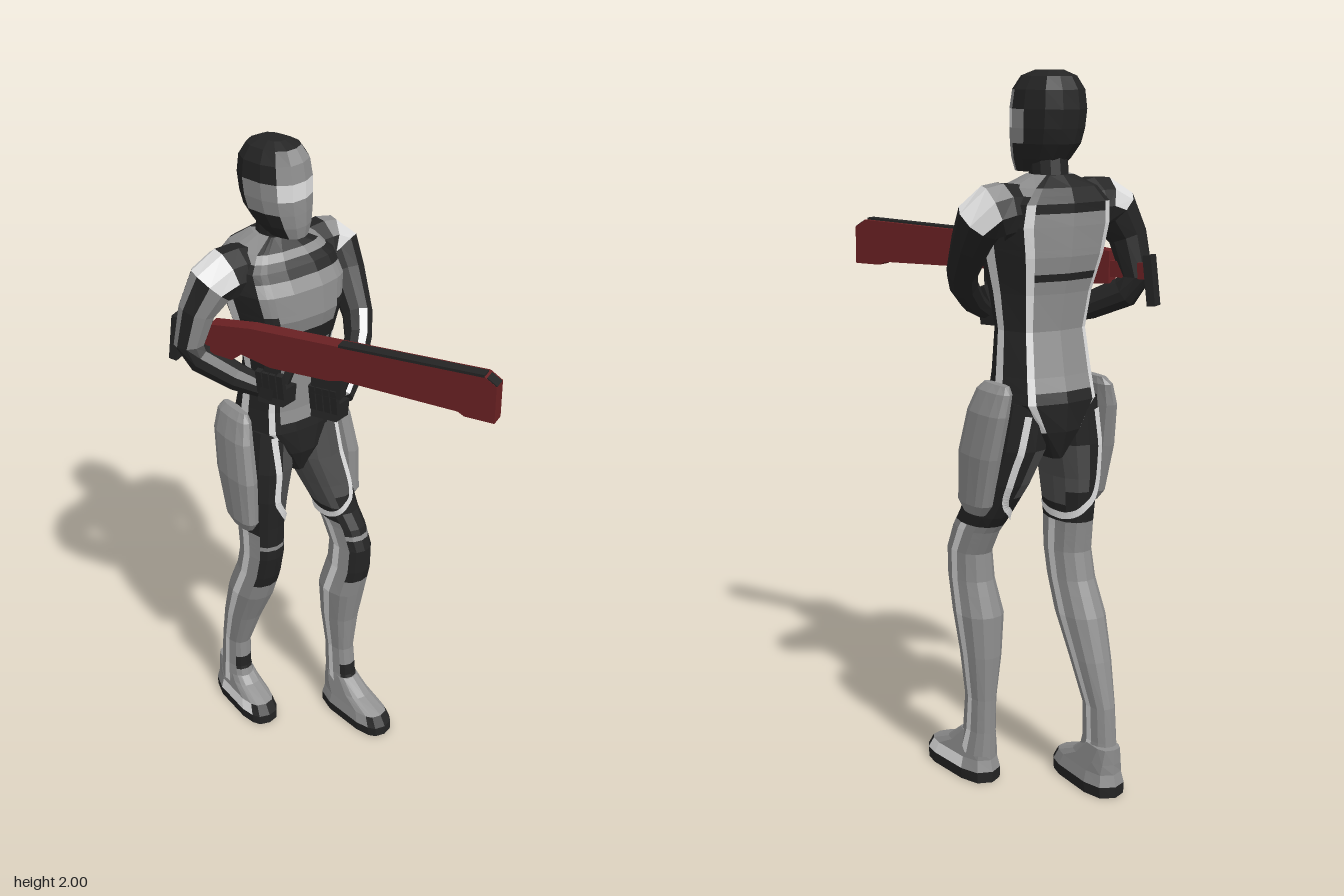
import * as THREE from 'three';

const flat = (name, color) => Object.assign(new THREE.MeshStandardMaterial({ color }), { name });
const MATS = [
  flat('black', 0x242424), flat('grey', 0x8e8e8e), flat('white', 0xe0e0e0),
  flat('dark grey', 0x4e4e4e), flat('dark red', 0x6a2123),
];
const [K, G, W, D, R] = [0, 1, 2, 3, 4];
const V = (x, y, z) => new THREE.Vector3(x, y, z);
const between = (t, a, b) => t > a && t < b;
const pow = (t, p) => Math.sign(t) * Math.abs(t) ** p;

// Point on a ring {c,u,v} at an angle in degrees; p below 1 squares the section
function onRing({ c, u, v }, deg, p) {
  const a = deg * Math.PI / 180;
  return c.clone().addScaledVector(u, pow(Math.cos(a), p)).addScaledVector(v, pow(Math.sin(a), p));
}

// Faceted skin over rings; paint(i, angle, ring centre) picks each panel's colour
function loft(name, rings, edges, p, paint) {
  const bins = MATS.map(() => []);
  const pts = rings.map(r => edges.map(d => onRing(r, d, p)));
  const n = edges.length, last = rings.length - 1;
  const tri = (m, ...ps) => ps.forEach(q => bins[m].push(q.x, q.y, q.z));
  for (let j = 0; j < n; j++) {
    const k = (j + 1) % n;
    const mid = ((edges[j] + edges[k] + (k ? 0 : 360)) / 2 + 360) % 360;
    for (let i = 0; i < last; i++) {
      const m = paint(i, mid, rings[i].c.clone().lerp(rings[i + 1].c, 0.5));
      tri(m, pts[i][j], pts[i + 1][j], pts[i + 1][k]);
      tri(m, pts[i][j], pts[i + 1][k], pts[i][k]);
    }
    tri(paint(0, mid, rings[0].c), rings[0].c, pts[0][j], pts[0][k]);
    tri(paint(last - 1, mid, rings[last].c), rings[last].c, pts[last][k], pts[last][j]);
  }
  const geo = new THREE.BufferGeometry();
  let start = 0;
  bins.forEach((b, m) => {
    if (b.length) geo.addGroup(start, b.length / 3, m);
    start += b.length / 3;
  });
  geo.setAttribute('position', new THREE.Float32BufferAttribute(bins.flat(), 3));
  geo.computeVertexNormals();
  const mesh = new THREE.Mesh(geo, MATS);
  mesh.name = name;
  return mesh;
}

// Level rings from rows [y, x, z, halfWidth, halfDepth], with extra rows blended in
const ring = ([y, x, z, rx, rz]) => ({ c: V(x, y, z), u: V(rx, 0, 0), v: V(0, 0, rz) });
function blend(rows, y) {
  const i = rows.findIndex(r => r[0] > y), a = rows[i - 1], b = rows[i];
  return a.map((q, k) => q + (b[k] - q) * (y - a[0]) / (b[0] - a[0]));
}
const level = (rows, extra = []) =>
  [...rows, ...extra.map(y => blend(rows, y))].sort((a, b) => a[0] - b[0]).map(ring);

// Rings following a path of rows [x, y, z, radius]
function along(rows) {
  const c = rows.map(r => V(r[0], r[1], r[2]));
  let u = V(0, 0, -1);
  return rows.map((r, i) => {
    const t = c[Math.min(i + 1, c.length - 1)].clone().sub(c[Math.max(i - 1, 0)]).normalize();
    u = u.clone().addScaledVector(t, -t.dot(u)).normalize();
    return { c: c[i], u: u.clone().multiplyScalar(r[3]), v: u.clone().cross(t).multiplyScalar(r[3]) };
  });
}

// White ribbon lying on a leg, through stops [y, angle]
function ribbon(name, rows, stops, half) {
  const mid = [], out = [], pos = [];
  const curve = new THREE.CatmullRomCurve3(stops.map(([y, a]) => V(y, a / 360, 0)), false, 'centripetal');
  for (const q of curve.getPoints(36)) {
    const r = ring(blend(rows, q.x)), s = onRing(r, q.y * 360, 0.85);
    const n = s.clone().sub(r.c).normalize();
    mid.push(s.addScaledVector(n, 0.003));
    out.push(n);
  }
  const sides = mid.map((s, i) => {
    const t = mid[Math.min(i + 1, 36)].clone().sub(mid[Math.max(i - 1, 0)]);
    const w = out[i].clone().cross(t).normalize();
    return [s.clone().addScaledVector(w, -half), s.clone().addScaledVector(w, half)];
  });
  for (let i = 0; i < 36; i++) {
    const [a, b] = sides[i], [c, d] = sides[i + 1];
    for (const q of [a, c, d, a, d, b]) pos.push(...q);
  }
  const geo = new THREE.BufferGeometry();
  geo.setAttribute('position', new THREE.Float32BufferAttribute(pos, 3));
  geo.computeVertexNormals();
  const mesh = new THREE.Mesh(geo, MATS[W]);
  mesh.name = name;
  return mesh;
}

function box(parent, name, mat, size, pos, rot = [0, 0, 0]) {
  const m = new THREE.Mesh(new THREE.BoxGeometry(...size), MATS[mat]);
  m.name = name;
  m.position.set(...pos);
  m.rotation.set(...rot);
  parent.add(m);
}

const ROUND = [0, 30, 60, 90, 120, 150, 180, 210, 240, 270, 300, 330];
const LEGS = {
  left: [
    [0.08, 0.182, -0.165, 0.045, 0.07], [0.15, 0.18, -0.178, 0.038, 0.058], [0.25, 0.18, -0.185, 0.037, 0.054],
    [0.38, 0.178, -0.182, 0.052, 0.066], [0.5, 0.177, -0.168, 0.064, 0.08], [0.6, 0.183, -0.142, 0.056, 0.077],
    [0.68, 0.185, -0.138, 0.053, 0.076], [0.75, 0.18, -0.168, 0.054, 0.082], [0.8, 0.172, -0.2, 0.057, 0.086],
    [0.9, 0.15, -0.24, 0.069, 0.102], [1.0, 0.127, -0.268, 0.08, 0.11], [1.13, 0.115, -0.283, 0.075, 0.105],
  ],
  right: [
    [0.08, -0.068, -0.415, 0.045, 0.07], [0.15, -0.068, -0.422, 0.038, 0.058], [0.25, -0.067, -0.418, 0.037, 0.054],
    [0.38, -0.064, -0.377, 0.052, 0.066], [0.5, -0.062, -0.33, 0.062, 0.08], [0.6, -0.058, -0.29, 0.058, 0.077],
    [0.68, -0.057, -0.272, 0.057, 0.078], [0.75, -0.057, -0.274, 0.057, 0.085], [0.8, -0.057, -0.276, 0.058, 0.09],
    [0.9, -0.055, -0.276, 0.067, 0.102], [1.0, -0.043, -0.282, 0.08, 0.11], [1.13, -0.028, -0.29, 0.075, 0.105],
  ],
};

export function createModel() {
  const model = new THREE.Group();
  model.name = 'armouredFigure';

  // Torso: grey panels, white side, front and back stripes
  const torsoRows = [
    [0.97, 0.043, -0.285, 0.025, 0.09], [1.05, 0.045, -0.285, 0.085, 0.12], [1.13, 0.045, -0.288, 0.145, 0.123],
    [1.2, 0.043, -0.283, 0.138, 0.108], [1.32, 0.04, -0.27, 0.127, 0.095], [1.42, 0.034, -0.26, 0.14, 0.115],
    [1.52, 0.027, -0.256, 0.165, 0.14], [1.6, 0.024, -0.262, 0.182, 0.138], [1.66, 0.022, -0.28, 0.175, 0.12],
    [1.7, 0.02, -0.287, 0.13, 0.095], [1.73, 0.02, -0.285, 0.06, 0.06],
  ];
  const torsoEdges = [-5, 5, 42, 52, 60, 80, 100, 120, 128, 138, 175, 185, 226, 237, 270, 303, 314];
  model.add(loft('torso', level(torsoRows, [1.16, 1.455, 1.475, 1.54, 1.635, 1.68]), torsoEdges, 0.75, (i, a, { y }) => {
    const off = Math.abs(a - (a < 180 ? 90 : 270));
    if (y > 1.68) return off > 45 || (a < 180 && y < 1.7) ? G : K;
    if (off > 80) return between(y, 1.16, 1.64) ? W : K;
    if (a < 180) {
      if (between(off, 38, 47)) return between(y, 1.08, 1.42) ? W : between(y, 1.54, 1.635) ? G : K;
      if (between(y, 1.54, 1.635)) return off < 50 ? G : K;
      if (off > 30 || y < 1.16) return K;
      return between(y, 1.42, 1.476) || y > 1.635 ? K : G;
    }
    if (between(off, 34, 43)) return between(y, 1.05, 1.66) ? W : K;
    if (off > 43 || y < 1.16) return K;
    return between(y, 1.455, 1.475) || y > 1.635 ? K : G;
  }));

  // Neck and hooded head with face plate and visor
  model.add(loft('neck', level([[1.66, 0.02, -0.285, 0.065, 0.065], [1.72, 0.02, -0.28, 0.052, 0.055],
    [1.8, 0.02, -0.27, 0.052, 0.055]]), ROUND, 1, () => K));
  const headRows = [
    [1.735, 0, 0.04, 0.044, 0.058], [1.77, 0, 0.022, 0.064, 0.082], [1.81, 0, 0.008, 0.077, 0.097],
    [1.85, 0, 0.002, 0.083, 0.102], [1.9, 0, -0.001, 0.085, 0.105], [1.95, 0, -0.002, 0.08, 0.098],
    [1.985, 0, -0.003, 0.06, 0.076], [2.0, 0, -0.005, 0.03, 0.04],
  ];
  const headEdges = [-25, 5, 32, 62, 90, 118, 148, 175, 205, 237, 270, 303];
  const head = loft('head', level(headRows), headEdges, 0.82, (i, a, { y }) => {
    const off = Math.abs(a - 90);
    if (off < 65) return i === 3 ? W : y > 1.985 || (y > 1.95 && off > 20) ? K : G;
    return off < 105 && between(y, 1.79, 1.9) ? G : K;
  });
  head.position.set(0.018, 0, -0.268);
  head.rotation.y = 0.3;
  model.add(head);

  // Legs, feet and thigh guards
  const legEdges = [-8, 8, 40, 63, 90, 117, 140, 172, 188, 215, 245, 270, 295, 325];
  for (const [side, s] of [['left', 1], ['right', -1]]) {
    const rows = LEGS[side], split = s > 0 ? 63 : 88;
    const mirror = a => s > 0 ? a : (540 - a) % 360; // 0 = outer side, 90 = front
    model.add(loft(side + 'Leg', level(rows, [0.19, 0.14, 0.56, 0.715, 0.73, 0.77, 0.82, 0.86]), legEdges, 0.85, (i, am, { y }) => {
      const a = mirror(am), front = between(a, 39, 141);
      if (y < 0.77) {
        if (a < 8 || a > 352 || Math.abs(a - 180) < 8) return W;
        return front && (between(y, 0.56, 0.715) || y > 0.73 || between(y, 0.14, 0.19)) ? K : G;
      }
      if (y < 0.82) return K;
      if (y < 0.86) return between(a, 110, 230) ? D : K;
      return between(a, split, 270) && !(a > 190 && y > 1) ? D : K;
    }));

    // White stripes curving round the thigh to its inner side
    const front = s > 0 ? [[1.12, 56], [1, 61], [0.9, 63], [0.86, 75], [0.825, 105], [0.8, 145], [0.79, 180]]
      : [[1.12, 70], [1, 83], [0.9, 86], [0.85, 103], [0.82, 125], [0.8, 155], [0.79, 180]];
    const back = [[1.1, 292], [0.95, 296], [0.86, 288], [0.81, 255], [0.79, 215], [0.79, 180]];
    for (const [name, stops] of [['FrontStripe', front], ['BackStripe', back]]) {
      const path = stops.map(([y, a]) => [y, s > 0 ? a : 180 - a]);
      model.add(ribbon(side + name, rows, path, 0.01));
    }

    // Boot with black sole and toe
    const foot = loft(side + 'Foot', level([
      [0, 0, 0, 0.058, 0.143], [0.032, 0, 0, 0.06, 0.143], [0.065, 0, -0.006, 0.052, 0.128],
      [0.095, 0, -0.045, 0.046, 0.088], [0.14, 0, -0.075, 0.037, 0.058],
    ]), [-20, 20, 45, 65, 90, 115, 135, 160, 200, 235, 270, 305], 0.7, (i, am) => {
      const a = mirror(am);
      if (i === 0 || (i === 1 && between(a, 46, 134))) return K;
      return i === 1 && (a < 45 || a > 355) ? W : G;
    });
    foot.position.set(s > 0 ? 0.184 : -0.067, 0, s > 0 ? -0.097 : -0.37);
    foot.rotation.y = s * 0.06;
    model.add(foot);

    // Rounded outer thigh guard
    const px = s > 0 ? 0.22 : -0.13, dz = s > 0 ? 0 : -0.03;
    model.add(loft(side + 'ThighGuard', level([
      [0.81, px + s * 0.003, -0.225 + dz, 0.018, 0.045], [0.84, px + s * 0.004, -0.228 + dz, 0.03, 0.068],
      [0.98, px + s * 0.003, -0.25 + dz, 0.034, 0.087], [1.1, px - s * 0.007, -0.277 + dz, 0.032, 0.085],
      [1.16, px - s * 0.02, -0.288 + dz, 0.024, 0.075], [1.18, px - s * 0.027, -0.29 + dz, 0.012, 0.058],
    ]), ROUND, 0.8, () => G));
  }

  // Arms, bent to carry the rifle
  const armEdges = [0, 35, 75, 105, 145, 180, 215, 255, 285, 325];
  const armRows = {
    left: [
      [0.13, 1.635, -0.285, 0.075], [0.18, 1.635, -0.287, 0.08], [0.203, 1.632, -0.285, 0.08], [0.232, 1.615, -0.272, 0.069],
      [0.23, 1.555, -0.225, 0.056], [0.207, 1.465, -0.14, 0.044], [0.175, 1.42, -0.095, 0.04],
      [0.108, 1.365, -0.033, 0.035], [0.035, 1.325, 0.02, 0.026],
    ],
    right: [
      [-0.08, 1.635, -0.28, 0.075], [-0.12, 1.64, -0.28, 0.078], [-0.148, 1.64, -0.28, 0.078], [-0.195, 1.62, -0.285, 0.07],
      [-0.23, 1.55, -0.302, 0.055], [-0.246, 1.44, -0.325, 0.046], [-0.225, 1.395, -0.3, 0.045],
      [-0.165, 1.35, -0.215, 0.04], [-0.105, 1.32, -0.145, 0.028],
    ],
  };
  for (const [side, s] of [['left', 1], ['right', -1]]) {
    model.add(loft(side + 'Arm', along(armRows[side]), armEdges, 1, (i, a) => {
      const out = -Math.sin(a * Math.PI / 180) * s;
      if (i === 1) return out > 0.5 && s > 0 ? G : K;
      if (i === 2) return out > 0.2 ? W : K;
      if (s < 0) return between(i, 2, 5) && (between(a, 75, 105) || between(a, 145, 215)) ? G : K;
      return i > 4 && between(a, 180, 215) ? W : K;
    }));
  }

  // Gloved hands with curled fingers
  const yaw = 0.456;
  const hand = (name, x, y, z) => {
    const g = new THREE.Group();
    g.name = name;
    g.position.set(x, y, z);
    g.rotation.y = yaw;
    box(g, 'palm', K, [0.075, 0.05, 0.08], [0, 0, 0], [0, 0, -0.2]);
    for (let f = 0; f < 4; f++) {
      box(g, 'finger', K, [0.018, 0.08, 0.018], [-0.036, 0.045, -0.033 + f * 0.022], [0, 0, 0.15]);
    }
    box(g, 'thumb', K, [0.02, 0.075, 0.022], [0.03, 0.045, 0.02], [0.3, 0, -0.2]);
    model.add(g);
  };
  hand('leftHand', -0.015, 1.31, 0.022);
  hand('rightHand', -0.09, 1.315, -0.125);

  // Rifle: red body and stock, black top, grip and butt
  const rifle = new THREE.Group();
  rifle.name = 'rifle';
  rifle.position.set(-0.06, 0, 0);
  rifle.rotation.y = yaw;
  const profile = [[-0.31, 1.42], [-0.24, 1.415], [-0.21, 1.44], [-0.12, 1.42], [0.06, 1.425], [0.1, 1.435], [0.44, 1.43],
    [0.46, 1.42], [0.545, 1.42], [0.545, 1.53], [0.51, 1.552], [0.1, 1.537], [-0.18, 1.527], [-0.31, 1.51]];
  const geo = new THREE.ExtrudeGeometry(new THREE.Shape(profile.map(q => new THREE.Vector2(...q))),
    { depth: 0.044, bevelEnabled: false });
  geo.rotateY(-Math.PI / 2).translate(0.022, 0, 0);
  const body = new THREE.Mesh(geo, MATS[R]);
  body.name = 'rifleBody';
  rifle.add(body);
  box(rifle, 'topStrip', K, [0.031, 0.008, 0.42], [-0.007, 1.546, 0.3], [-0.036, 0, 0]);
  box(rifle, 'muzzle', K, [0.034, 0.009, 0.035], [-0.004, 1.538, 0.53], [0.55, 0, 0]);
  box(rifle, 'sidePlate', K, [0.02, 0.04, 0.1], [0.026, 1.43, 0.03]);
  box(rifle, 'stock', R, [0.03, 0.045, 0.12], [0, 1.46, -0.365]);
  box(rifle, 'butt', K, [0.035, 0.14, 0.025], [0, 1.435, -0.43], [0.12, 0, 0]);
  box(rifle, 'grip', K, [0.03, 0.12, 0.04], [0, 1.37, -0.13], [0.2, 0, 0]);
  box(rifle, 'foregrip', K, [0.034, 0.06, 0.09], [0, 1.4, 0.05]);
  model.add(rifle);

  return model;
}
